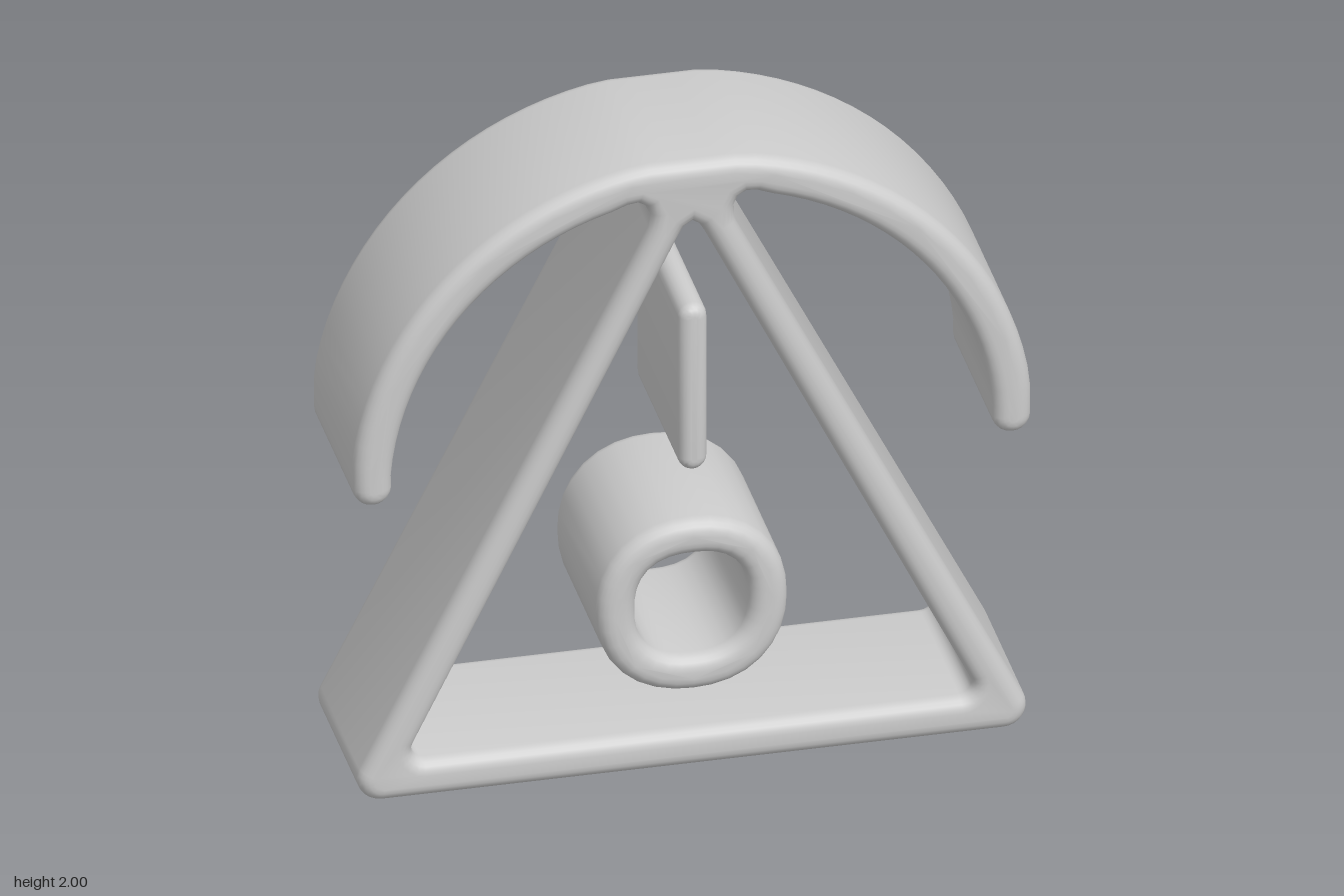
import * as THREE from 'three';
import { toCreasedNormals } from 'three/addons/utils/BufferGeometryUtils.js';

const DEPTH = 0.57;

// points along a circular arc
function arc(cx, cy, r, a0, a1, n) {
  return Array.from({ length: n + 1 }, (_, i) => {
    const a = a0 + (a1 - a0) * i / n;
    return new THREE.Vector2(cx + r * Math.cos(a), cy + r * Math.sin(a));
  });
}

// rounded-square loop
function squircle(cy, r, power, n = 32) {
  return Array.from({ length: n }, (_, i) => {
    const a = i / n * Math.PI * 2, c = Math.cos(a), s = Math.sin(a);
    const k = r / Math.pow(Math.abs(c) ** power + Math.abs(s) ** power, 1 / power);
    return new THREE.Vector2(k * c, cy + k * s);
  });
}

// closes a right half (listed top to bottom, ends on x = 0) into a counterclockwise loop
function mirrored(half) {
  const left = half.slice(1, -1).reverse().map(p => new THREE.Vector2(-p.x, p.y));
  return [...half, ...left].reverse();
}

const points = list => list.map(([x, y]) => new THREE.Vector2(x, y));

// extrusion along z with rounded rims that stay inside the outline
function slab(name, outline, hole, round, material) {
  const shape = new THREE.Shape(outline);
  if (hole) shape.holes.push(new THREE.Path(hole));
  const geometry = new THREE.ExtrudeGeometry(shape, {
    depth: DEPTH - 2 * round, bevelThickness: round, bevelSize: round,
    bevelOffset: -round, bevelSegments: 5,
  });
  geometry.translate(0, 0, -DEPTH / 2 + round);
  const mesh = new THREE.Mesh(toCreasedNormals(geometry, 0.7), material);
  mesh.name = name;
  return mesh;
}

export function createModel() {
  const grey = new THREE.MeshStandardMaterial({ color: 0xcccccc });
  grey.name = 'plain grey';
  const model = new THREE.Group();
  model.name = 'archedTriangle';

  // arch and triangle share one outline, joined at the apex
  const outerArch = arc(0, 1, 1.01, Math.PI / 2, 0.06, 24)
    .map(p => new THREE.Vector2(Math.min(p.x, 1), Math.min(p.y, 2)));
  const frameHalf = [
    ...outerArch,
    ...arc(0.943, 1.035, 0.057, 0, -Math.PI, 10),
    ...arc(0, 1, 0.89, 0.08, 1.3, 20),
    ...points([[0.19, 1.876], [0.16, 1.879], [0.137, 1.866], [0.125, 1.838], [0.127, 1.79]]),
    ...arc(0.917, 0.07, 0.07, 0.468, -Math.PI / 2, 8),
    ...points([[0, 0]]),
  ];
  const holeHalf = [
    ...points([[0, 1.8], [0.022, 1.786], [0.04, 1.755]]),
    ...arc(0.79, 0.157, 0.037, 0.468, -Math.PI / 2, 6),
    ...points([[0, 0.12]]),
  ];
  model.add(slab('archAndTriangleFrame', mirrored(frameHalf), mirrored(holeHalf), 0.044, grey));

  // hanging upright plate
  const plate = [
    ...arc(0, 1.487, 0.042, 0, Math.PI, 10),
    ...arc(0, 1.022, 0.042, Math.PI, Math.PI * 2, 10),
  ];
  model.add(slab('uprightPlate', plate, null, 0.034, grey));

  // tube below the plate
  model.add(slab('tube', squircle(0.53, 0.282, 2.2), squircle(0.53, 0.168, 2.5), 0.046, grey));

  return model;
}
